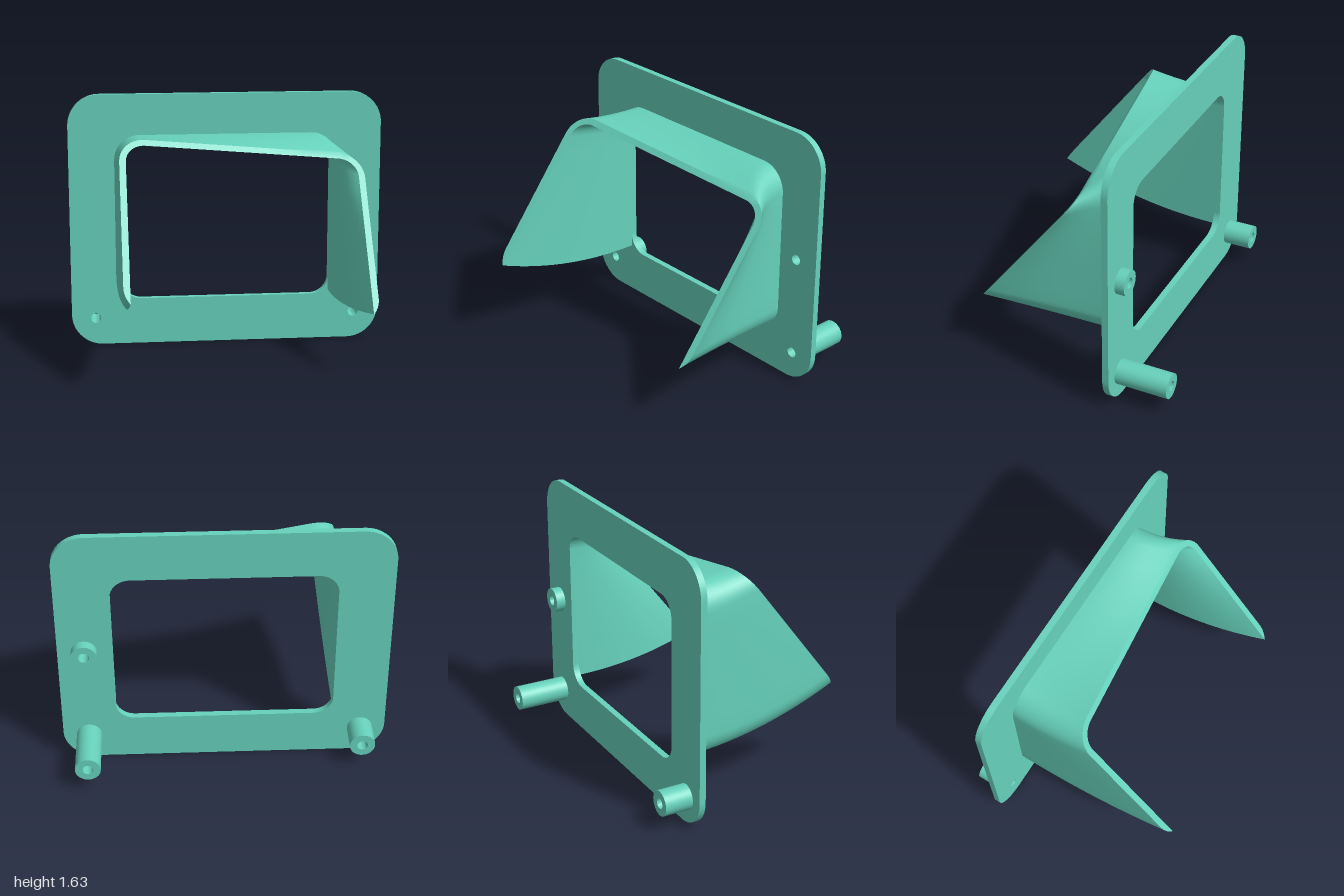
import * as THREE from 'three';
import { toCreasedNormals } from 'three/addons/utils/BufferGeometryUtils.js';

const material = new THREE.MeshStandardMaterial({ color: 0x66d1bb });
const BACK = -0.4, FRONT = -0.36, WALL = 0.04;

function addMesh(group, name, geometry) {
  const mesh = new THREE.Mesh(toCreasedNormals(geometry, 0.6), material);
  mesh.name = name;
  group.add(mesh);
}

// Rounded rectangle outline, for a Shape or a hole Path
function roundedRect(path, x0, y0, x1, y1, r) {
  path.absarc(x1 - r, y0 + r, r, -Math.PI / 2, 0);
  path.absarc(x1 - r, y1 - r, r, 0, Math.PI / 2);
  path.absarc(x0 + r, y1 - r, r, Math.PI / 2, Math.PI);
  path.absarc(x0 + r, y0 + r, r, Math.PI, Math.PI * 1.5);
  path.closePath();
  return path;
}

function circle(path, x, y, r) {
  return path.absarc(x, y, r, 0, Math.PI * 2);
}

function extrude(shape, z0, z1) {
  const g = new THREE.ExtrudeGeometry(shape, { depth: z1 - z0, bevelEnabled: false, curveSegments: 20 });
  return g.translate(0, 0, z0);
}

// Open arch section as [x, distance down from the top], left foot to right foot.
// The outer skin curls in at the feet to meet the inner skin in a sharp edge.
function archSection(xl, xr, end, inner) {
  const R = 0.16, inset = inner ? WALL : 0, r = R - inset;
  const curl = Math.acos(1 - WALL / R), straight = end - R * Math.sin(curl);
  const half = (x, dir) => {
    const pts = [];
    for (let i = 0; i <= 6; i++) {               // foot
      const a = curl * (1 - i / 6);
      const dx = inner ? WALL : R * (1 - Math.cos(a));
      pts.push([x + dir * dx, straight + R * Math.sin(a)]);
    }
    for (let i = 1; i < 8; i++) {                // side wall
      pts.push([x + dir * inset, straight + (R - straight) * i / 8]);
    }
    for (let i = 0; i <= 10; i++) {              // upper corner
      const a = i / 10 * Math.PI / 2;
      pts.push([x + dir * (R - r * Math.cos(a)), R - r * Math.sin(a)]);
    }
    return pts;
  };
  const left = half(xl, 1), right = half(xr, -1).reverse();
  const a = left[left.length - 1], b = right[0], top = [];
  for (let i = 1; i < 8; i++) top.push([a[0] + (b[0] - a[0]) * i / 8, a[1]]);
  return [...left, ...top, ...right];
}

// Hood skins lofted from the plate to the slanted rim, leaving the plate squarely
function hoodGeometry() {
  const steps = 16, positions = [], index = [];
  const skin = inner => {
    const base = archSection(-0.71, 0.71, 1.04, inner);
    const rim = archSection(-0.69, 0.84, 1.085, inner);
    const start = positions.length / 3, n = base.length;
    for (let j = 0; j <= steps; j++) {
      const t = j / steps;
      for (let i = 0; i < n; i++) {
        const [bx, bv] = base[i], [x, s] = rim[i];
        const by = 1.37 - bv;
        const y = 1.35 - 0.105 * x - 0.785 * s;
        const z = -0.02 - 0.125 * x + 0.61 * s;
        positions.push(bx + (x - bx) * t * t, by + (y - by) * t * t, FRONT + (z - FRONT) * t);
      }
    }
    for (let j = 0; j < steps; j++) {
      for (let i = 0; i < n - 1; i++) {
        const a = start + j * n + i, b = a + 1, c = a + n, d = c + 1;
        if (inner) index.push(a, b, c, b, d, c);
        else index.push(a, c, b, b, c, d);
      }
    }
    return { last: start + steps * n, n };
  };
  const outer = skin(false), inner = skin(true);
  // Rim face between the two skins
  for (let i = 0; i < outer.n - 1; i++) {
    const a = outer.last + i, b = inner.last + i;
    index.push(a, b, a + 1, a + 1, b, b + 1);
  }
  const g = new THREE.BufferGeometry();
  g.setAttribute('position', new THREE.Float32BufferAttribute(positions, 3));
  g.setIndex(index);
  return g;
}

export function createModel() {
  const group = new THREE.Group();
  group.name = 'hoodedFrame';

  // x, y and rear end of each standoff
  const standoffs = [[-0.845, 0.175, -0.575], [0.84, 0.175, -0.73], [0.84, 0.82, -0.46]];

  // Plate with window and screw holes
  const plate = roundedRect(new THREE.Shape(), -1, 0, 1, 1.63, 0.2);
  plate.holes.push(roundedRect(new THREE.Path(), -0.67, 0.3, 0.67, 1.33, 0.12));
  for (const [x, y] of standoffs) plate.holes.push(circle(new THREE.Path(), x, y, 0.033));
  addMesh(group, 'plate', extrude(plate, BACK, FRONT));

  // Hollow standoffs behind the plate
  for (const [x, y, z] of standoffs) {
    const ring = circle(new THREE.Shape(), x, y, 0.078);
    ring.holes.push(circle(new THREE.Path(), x, y, 0.033));
    addMesh(group, 'standoff', extrude(ring, z, BACK));
  }

  addMesh(group, 'hood', hoodGeometry());
  return group;
}
